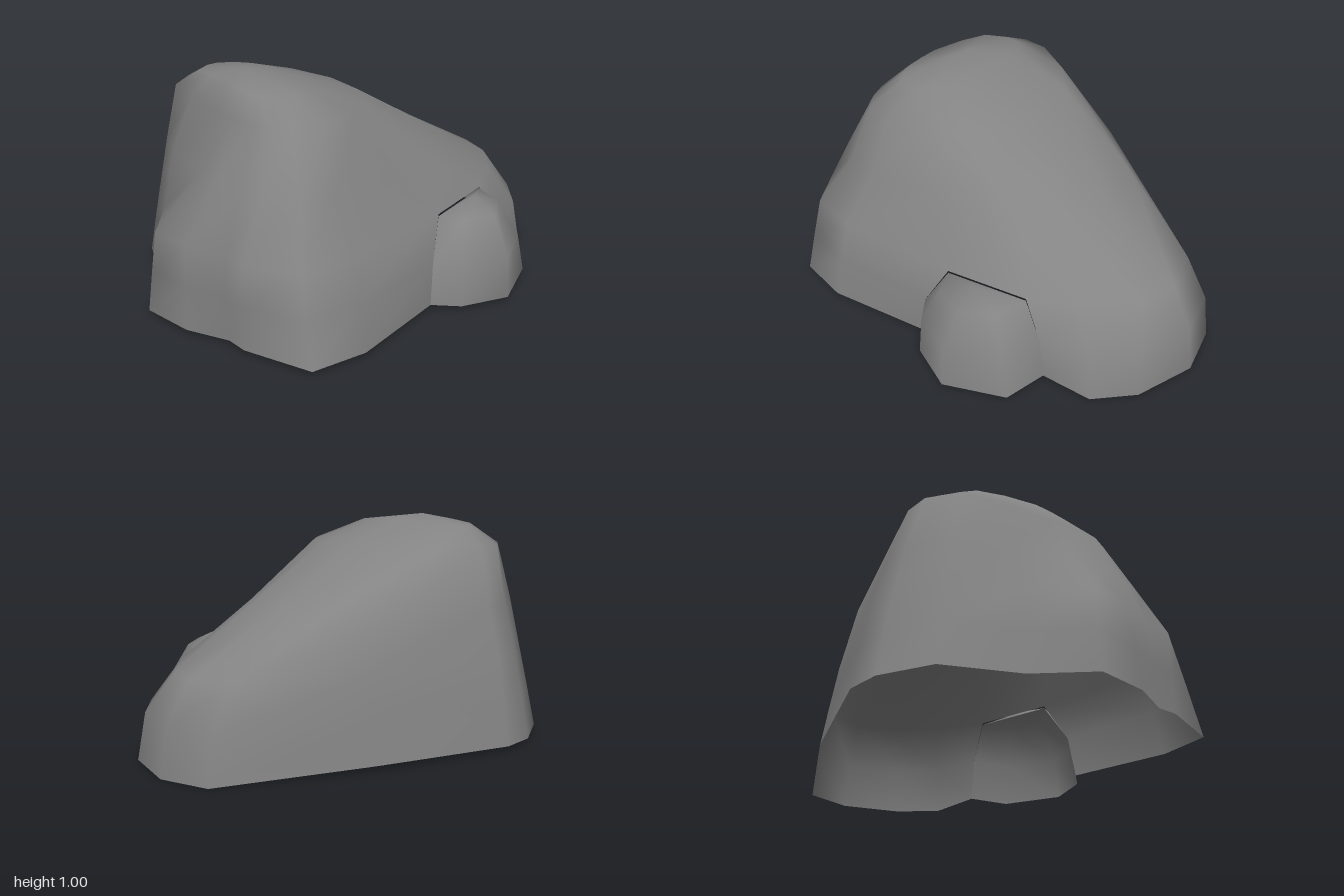
import * as THREE from 'three';

const material = new THREE.MeshStandardMaterial({ color: 0x848484, side: THREE.DoubleSide });

// Outlines are [x, z] corners, running left side, back, right side, front.
const base = [[-1, -.08], [-.83, -.3], [-.72, -.62], [-.51, -.75], [-.35, -.77], [.28, -.59],
  [.92, -.32], [1, -.1], [.94, .18], [.81, .35], [.59, .41], [0, .61], [-.46, .745], [-.71, .73],
  [-.84, .44], [-.85, .34], [-.95, .16]];
const waist = [[-.96, -.05], [-.8, -.27], [-.68, -.55], [-.49, -.68], [-.35, -.705], [.26, -.53],
  [.78, -.3], [.86, -.11], [.82, .06], [.66, .26], [.47, .4], [.11, .52], [-.45, .65], [-.69, .63],
  [-.83, .45], [-.84, .33], [-.92, .14]];
const chest = [[-.77, 0], [-.73, -.3], [-.65, -.51], [-.48, -.62], [-.35, -.64], [.1, -.53],
  [.37, -.36], [.44, -.12], [.42, .08], [.28, .25], [.14, .33], [-.1, .41], [-.42, .5], [-.59, .49],
  [-.72, .4], [-.75, .3], [-.77, .14]];
const shoulder = [[-.66, 0], [-.65, -.25], [-.62, -.45], [-.5, -.55], [-.38, -.56], [-.18, -.48],
  [-.06, -.36], [0, -.12], [-.01, .08], [-.08, .23], [-.14, .29], [-.24, .37], [-.4, .41], [-.55, .38],
  [-.61, .32], [-.65, .24], [-.66, .12]];

// Place an outline at a height.
const at = (outline, y) => outline.map(([x, z]) => [x, y, z]);

// Skin stacked rings and close them with a peak; the underside stays open.
// The panel at index gap is left out of the two lowest bands, where the rocks join.
function rock(name, rings, peak, gap) {
  const n = rings[0].length;
  const index = [];
  rings.forEach((ring, r) => {
    for (let i = 0; i < n; i++) {
      const a = r * n + i, b = r * n + (i + 1) % n;
      if (r === rings.length - 1) index.push(a, rings.length * n, b);
      else if (r > 1 || i !== gap) index.push(a, a + n, b, b, a + n, b + n);
    }
  });
  const geometry = new THREE.BufferGeometry();
  geometry.setAttribute('position', new THREE.Float32BufferAttribute([...rings.flat(2), ...peak], 3));
  geometry.setIndex(index);
  geometry.computeVertexNormals();
  const mesh = new THREE.Mesh(geometry, material);
  mesh.name = name;
  return mesh;
}

export function createModel() {
  const group = new THREE.Group();
  group.name = 'rocks';

  // Large sloping rock: its low end dips at the foot and bulges at the knee
  const foot = base.map(([x, z]) => [x, x > .7 ? 0 : .02, z]);
  const knee = base.map(([x, z], i) => {
    const t = i > 5 && i < 12 ? .22 : .5;
    return [x + (waist[i][0] - x) * t, z + (waist[i][1] - z) * t];
  });
  const crown = shoulder.map(([x, z]) => {
    const cz = -.1 + (z + .1) * .66;
    return [-.45 + (x + .45) * (x > -.45 ? .3 : .65), .985 - .09 * Math.abs(cz + .06), cz];
  });
  group.add(rock('largeRock', [
    foot,
    at(knee, .21),
    at(waist, .39),
    at(chest, .62),
    at(shoulder, .875),
    crown,
  ], [-.46, 1, -.12], 10));

  // Small boulder on the front, growing out of the opening in the large rock
  const joined = (outline, front) => [outline[11], outline[10], ...front];
  group.add(rock('smallBoulder', [
    at(joined(base, [[.57, .61], [.32, .76], [.1, .7]]), .02),
    at(joined(knee, [[.53, .6], [.32, .745], [.11, .685]]), .21),
    at(joined(waist, [[.44, .55], [.32, .65], [.17, .62]]), .38),
  ], [.31, .43, .53], 0));

  return group;
}
